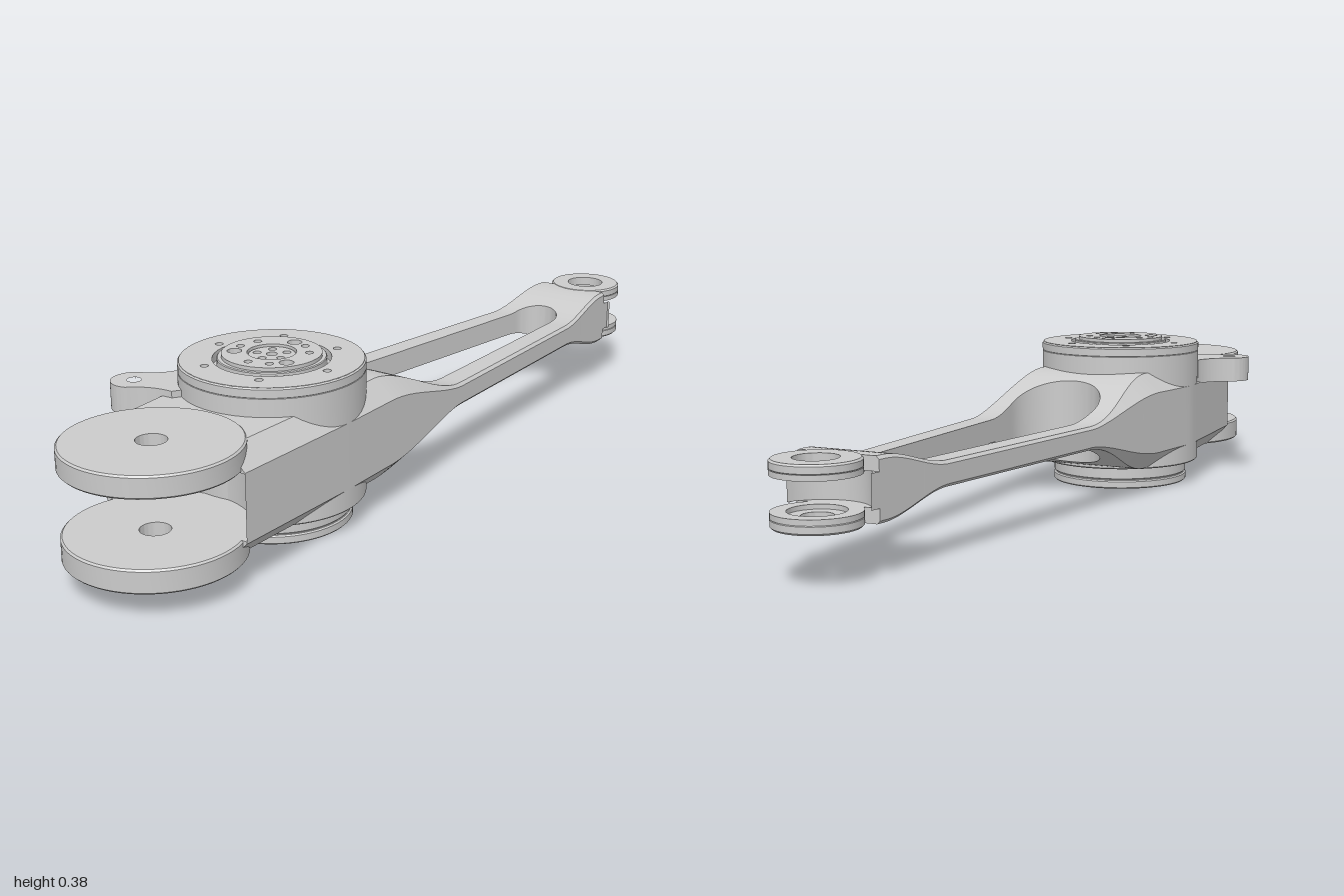
import * as THREE from 'three';
import { toCreasedNormals } from 'three/addons/utils/BufferGeometryUtils.js';

const MID = 0.181; // height of the arm's centre plane
const HUB = [0.04, 0.4, 0.205], FRONT = [0.055, 0.8, 0.19], REAR = [0.108, -0.905, 0.092]; // x, z, radius
const smooth = THREE.MathUtils.smoothstep;

// x of the hull around a chain of circles at depth z, on side s (+1 or -1)
function hullX(circles, z, s) {
  let best = -Infinity;
  for (let i = 0; i < Math.max(1, circles.length - 1); i++) {
    const a = circles[i], b = circles[i + 1] || a;
    for (let k = 0; k <= 240; k++) {
      const [x, cz, r] = a.map((v, j) => v + (b[j] - v) * k / 240);
      const d = r * r - (z - cz) ** 2;
      if (d > -1e-6) best = Math.max(best, s * x + Math.sqrt(Math.max(0, d)));
    }
  }
  return s * best;
}
const outer = s => z => hullX([REAR, HUB, FRONT], z, s);

// Half thickness and edge chamfer of the arm along its length
const half = z => z < -0.35 ? 0.068 - 0.04 * smooth(z, -0.82, -0.62) : 0.028 + 0.093 * smooth(z, -0.08, 0.24);
const top = z => MID + half(z);
const bottom = z => MID - half(z);
const chamfer = z => 0.007 + 0.038 * smooth(z, -0.05, 0.25);

// Loft along z; corners chamfered where flagged (bottom-right, top-right, top-left, bottom-left)
function loft(z0, z1, n, left, right, low, high, flags) {
  const pos = [], idx = [], N = 8;
  for (let k = 0; k <= n; k++) {
    const z = z0 + (z1 - z0) * (1 - Math.cos(Math.PI * k / n)) / 2;
    const l = left(z), r = right(z), b = low(z), t = high(z);
    const c = Math.max(0, Math.min(chamfer(z), (r - l) * 0.45, (t - b) * 0.98));
    const [br, tr, tl, bl] = flags.map(f => f * c);
    [[r - br, b], [r, b + br], [r, t - tr], [r - tr, t], [l + tl, t], [l, t - tl], [l, b + bl], [l + bl, b]]
      .forEach(([x, y]) => pos.push(x, y, z));
  }
  for (let k = 0; k < n; k++) for (let i = 0; i < N; i++) {
    const a = k * N + i, b = k * N + (i + 1) % N;
    idx.push(a, b, b + N, a, b + N, a + N);
  }
  for (let i = 1; i < N - 1; i++) idx.push(0, i + 1, i, n * N, n * N + i, n * N + i + 1);
  const g = new THREE.BufferGeometry();
  g.setAttribute('position', new THREE.Float32BufferAttribute(pos, 3));
  g.setIndex(idx);
  return toCreasedNormals(g, 0.5);
}

// Ring or disc turned about a vertical axis, with a small edge bevel
function ring([x, z], rIn, rOut, y0, y1, e = 0.004) {
  const pts = [[rIn, y0], [rOut - e, y0], [rOut, y0 + e], [rOut, y1 - e], [rOut - e, y1], [rIn, y1]];
  if (rIn > 0) pts.push([rIn, y0]);
  const g = new THREE.LatheGeometry(pts.map(p => new THREE.Vector2(...p)), 64);
  return toCreasedNormals(g.translate(x, 0, z), 0.5);
}

// Plan shape (x, z) extruded between two heights
function plate(shape, y0, y1) {
  const g = new THREE.ExtrudeGeometry(shape, { depth: y1 - y0, bevelEnabled: false, curveSegments: 24 });
  return toCreasedNormals(g.rotateX(Math.PI / 2).translate(0, y1, 0), 0.5);
}
function disc(x, z, r) {
  const s = new THREE.Shape();
  s.absarc(x, z, r, 0, Math.PI * 2);
  return s;
}
function drill(shape, x, z, r) {
  const p = new THREE.Path();
  p.absarc(x, z, r, 0, Math.PI * 2, true);
  shape.holes.push(p);
}
function drillCircle(shape, n, radius, r, phase) {
  for (let i = 0; i < n; i++) {
    const a = phase + i / n * Math.PI * 2;
    drill(shape, HUB[0] + radius * Math.cos(a), HUB[1] + radius * Math.sin(a), r);
  }
}

export function createModel() {
  const model = new THREE.Group();
  const grey = new THREE.MeshStandardMaterial({ color: 0xcccccc });
  const add = (name, geometry) => {
    const m = new THREE.Mesh(geometry, grey);
    m.name = name;
    model.add(m);
    return m;
  };
  const L = outer(-1), R = outer(1), all = [1, 1, 1, 1], none = [0, 0, 0, 0];
  const flat = y => () => y;

  // Pair of side rails around an opening described by circles
  function rails(name, z0, z1, n, opening, low, high, chamfered) {
    const inner = s => z => hullX(opening, z, s);
    add(name + 'Right', loft(z0, z1, n, L, inner(-1), low, high, chamfered ? [0, 0, 1, 1] : none));
    add(name + 'Left', loft(z0, z1, n, inner(1), R, low, high, chamfered ? [1, 1, 0, 0] : none));
  }

  // Long arm with its tapered window
  add('armNeck', loft(-0.798, -0.705, 12, L, R, bottom, top, all));
  rails('armRail', -0.705, 0.15, 72, [[0.095, -0.645, 0.06], [0.058, 0.037, 0.113]], bottom, top, true);
  add('hubBody', loft(0.15, 0.6, 32, L, R, bottom, top, all));

  // Front fork: hollowed core between two slabs and round cheeks
  rails('frontForkCore', 0.6, 0.74, 20, [[0.055, 0.8, 0.2]], flat(0.11), flat(0.255), false);
  add('frontForkUpperSlab', loft(0.6, 0.74, 10, L, R, flat(0.255), top, [0, 1, 1, 0]));
  add('frontForkLowerSlab', loft(0.6, 0.74, 10, L, R, bottom, flat(0.11), [1, 0, 0, 1]));
  add('frontUpperCheek', ring(FRONT, 0.033, 0.19, 0.255, 0.304));
  add('frontLowerCheek', ring(FRONT, 0.033, 0.19, 0.057, 0.11));

  // Rear fork with recessed bores on the inner faces
  rails('rearForkCore', -0.865, -0.798, 16, [[0.108, -0.905, 0.107]], flat(0.145), flat(0.218), false);
  add('rearForkUpperSlab', loft(-0.84, -0.798, 6, L, R, flat(0.218), top, [0, 1, 1, 0]));
  add('rearForkLowerSlab', loft(-0.84, -0.798, 6, L, R, bottom, flat(0.145), [1, 0, 0, 1]));
  add('rearUpperCheek', ring(REAR, 0.047, 0.092, 0.228, 0.25));
  add('rearUpperBore', ring(REAR, 0.06, 0.092, 0.218, 0.23, 0));
  add('rearLowerCheek', ring(REAR, 0.033, 0.092, 0.113, 0.135));
  add('rearLowerBore', ring(REAR, 0.06, 0.092, 0.133, 0.145, 0));

  // Hub housing and its drilled top
  add('hubHousing', ring(HUB, 0, 0.205, 0.056, 0.345, 0.003));
  const rim = disc(HUB[0], HUB[1], 0.202);
  drill(rim, HUB[0], HUB[1], 0.13);
  drillCircle(rim, 6, 0.153, 0.009, 0.02);
  add('hubRim', plate(rim, 0.34, 0.366));
  add('hubRimEdge', ring(HUB, 0.2, 0.205, 0.34, 0.366));

  // Output flange with bolt pattern and sunken centre
  const flange = disc(HUB[0], HUB[1], 0.11);
  drill(flange, HUB[0], HUB[1], 0.054);
  drillCircle(flange, 3, 0.082, 0.016, 0.5);
  drillCircle(flange, 3, 0.082, 0.009, 0.95);
  drillCircle(flange, 3, 0.082, 0.009, 1.55);
  add('outputFlange', plate(flange, 0.34, 0.378));
  add('flangeCollar', ring(HUB, 0.109, 0.12, 0.34, 0.37, 0.002));
  const core = disc(HUB[0], HUB[1], 0.051);
  drillCircle(core, 5, 0.034, 0.009, 0.3);
  drill(core, HUB[0], HUB[1], 0.012);
  add('flangeCore', plate(core, 0.34, 0.373));

  // Motor base under the hub
  add('baseCap', ring(HUB, 0, 0.175, 0, 0.021, 0.003));
  add('baseGroove', ring(HUB, 0, 0.17, 0.015, 0.03, 0));
  add('baseRing', ring(HUB, 0, 0.174, 0.024, 0.06, 0.002));

  // Connector panel on the front of the base
  const box = (name, x, y, w, h, z) =>
    add(name, new THREE.BoxGeometry(w, h, 0.03).translate(x, y, z - 0.015));
  box('connectorPanel', 0.028, 0.038, 0.056, 0.027, 0.576);
  box('signalSocket', 0.069, 0.039, 0.018, 0.028, 0.574);
  for (const x of [0.014, 0.045]) {
    add('connectorRing', new THREE.TorusGeometry(0.008, 0.0015, 8, 24).translate(x, 0.039, 0.576));
    add('connectorPin', new THREE.CylinderGeometry(0.004, 0.004, 0.006, 16).rotateX(Math.PI / 2).translate(x, 0.039, 0.575));
  }
  for (const y of [0.034, 0.045]) box('signalPin', 0.069, y, 0.004, 0.004, 0.576);

  // Side lug blended into the hub
  const lug = new THREE.Shape();
  lug.moveTo(-0.06, 0.45);
  lug.lineTo(-0.158, 0.455);
  lug.quadraticCurveTo(-0.165, 0.515, -0.232, 0.543);
  lug.absarc(-0.198, 0.583, 0.052, Math.PI * 1.28, Math.PI * 0.38, true);
  lug.quadraticCurveTo(-0.14, 0.592, -0.08, 0.592);
  lug.lineTo(-0.06, 0.56);
  drill(lug, -0.198, 0.583, 0.016);
  add('sideLug', plate(lug, 0.255, 0.317));

  return model;
}
